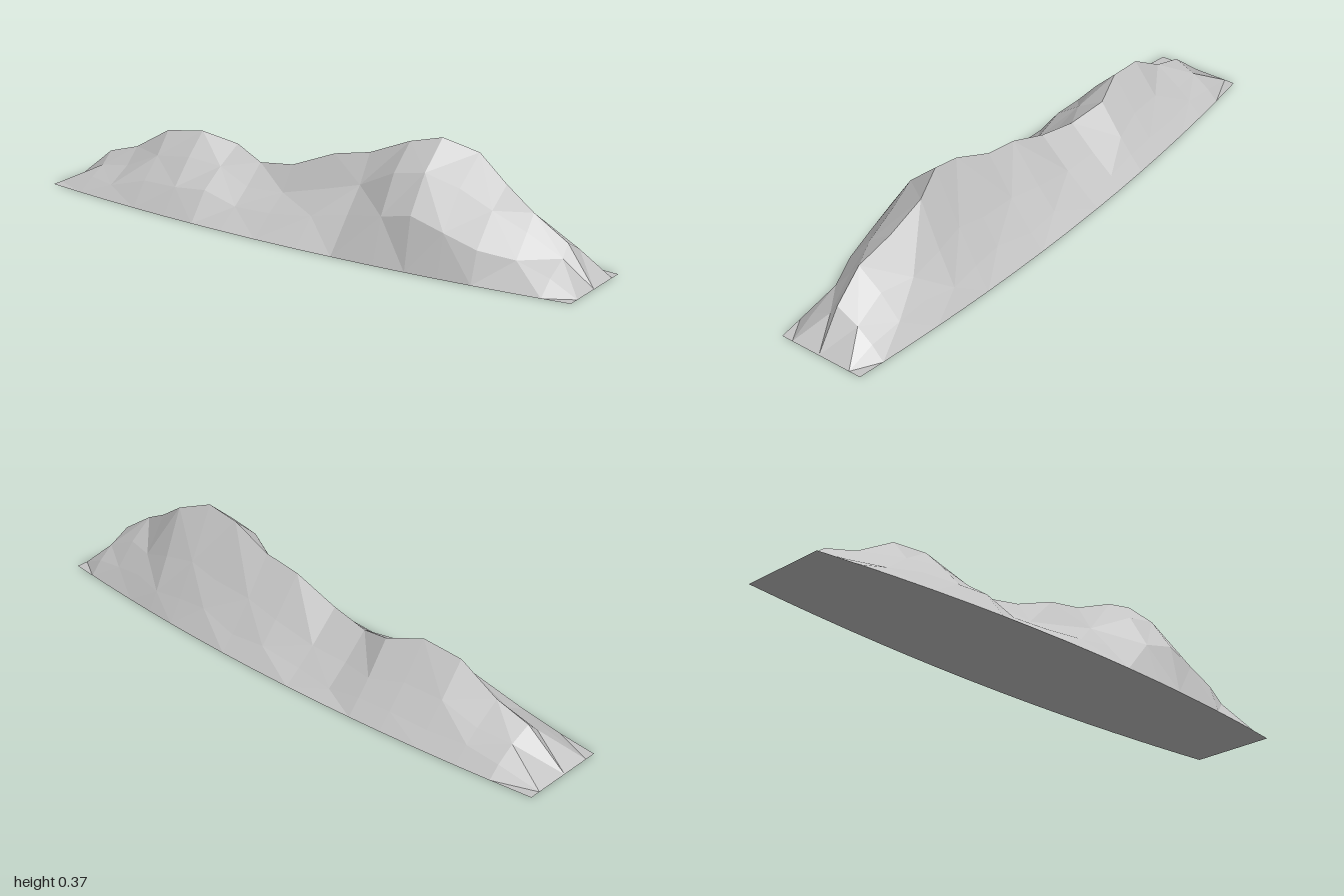
import * as THREE from 'three';

// Cross-sections along x: [x, crest y, crest z], then front ledge and foot as [z, y]
const SECTIONS = [
  [[-1, 0, 0], [0.06, 0], [0.105, 0]],
  [[-0.86, 0.11, 0], [0.045, 0.07], [0.1, 0.04]],
  [[-0.74, 0.145, 0], [0.055, 0.09], [0.14, 0.042]],
  [[-0.6, 0.225, 0], [0.06, 0.15], [0.13, 0.08]],
  [[-0.46, 0.243, -0.01], [0.065, 0.17], [0.14, 0.085]],
  [[-0.34, 0.21, -0.045], [0.05, 0.155], [0.135, 0.095]],
  [[-0.22, 0.175, -0.01], [0.065, 0.11], [0.13, 0.06]],
  [[-0.08, 0.195, 0.005], [0.06, 0.115], [0.135, 0.065]],
  [[0.08, 0.258, 0], [0.055, 0.155], [0.13, 0.085]],
  [[0.21, 0.283, -0.005], [0.05, 0.19], [0.12, 0.11]],
  [[0.36, 0.345, 0], [0.09, 0.265], [0.16, 0.145]],
  [[0.47, 0.372, -0.01], [0.09, 0.285], [0.168, 0.17]],
  [[0.58, 0.335, -0.045], [0.07, 0.25], [0.16, 0.135]],
  [[0.69, 0.26, -0.02], [0.065, 0.2], [0.15, 0.1]],
  [[0.8, 0.2, 0.01], [0.05, 0.15], [0.11, 0.08]],
  [[0.91, 0.125, 0], [0.03, 0.085], [0.105, 0.045]],
  [[1, 0, 0], [0.06, 0], [0.105, 0]],
];

// Bowed outline of the base
const backEdge = (x) => -0.218 + 0.06 * x * x;
const frontEdge = (x) => 0.215 - 0.07 * x * x;

// One cross-section from the back edge over the crest to the front edge
function sectionPoints([[x, y, z], ledge, foot], i) {
  const back = backEdge(x);
  const wobble = 0.03 * Math.sin(i * 2.3);
  // The back slope is straight in the middle and fuller toward both ends
  const fullness = THREE.MathUtils.smoothstep(Math.abs(x), 0.58, 0.85);
  const onBack = (reach, height) => [x, y * height, z + (back - z) * reach];
  return [
    [x, 0, back],
    onBack(0.76 + wobble, 0.21 - wobble + 0.14 * fullness),
    onBack(0.45 - wobble, 0.51 + wobble + 0.17 * fullness),
    [x, y, z],
    [x, ledge[1], ledge[0]],
    [x, foot[1], foot[0]],
    [x, 0, frontEdge(x)],
  ];
}

function buildGeometry(triangles) {
  const geometry = new THREE.BufferGeometry();
  geometry.setAttribute('position', new THREE.Float32BufferAttribute(triangles.flat(2), 3));
  geometry.computeVertexNormals();
  return geometry;
}

export function createModel() {
  const rock = new THREE.MeshStandardMaterial({ color: 0xc4c4c4, flatShading: true });
  rock.name = 'greyRock';

  const rows = SECTIONS.map(sectionPoints);
  const slopes = [];
  const underside = [];
  for (let i = 0; i < rows.length - 1; i++) {
    const p = rows[i], q = rows[i + 1];
    const last = p.length - 1;
    // Rocky facets, with the diagonal alternating
    for (let j = 0; j < last; j++) {
      if ((i + j) % 2) slopes.push([p[j], p[j + 1], q[j + 1]], [p[j], q[j + 1], q[j]]);
      else slopes.push([p[j], p[j + 1], q[j]], [p[j + 1], q[j + 1], q[j]]);
    }
    // Flat bottom
    underside.push([p[0], q[last], p[last]], [p[0], q[0], q[last]]);
  }

  const ridge = new THREE.Mesh(buildGeometry(slopes), rock);
  ridge.name = 'mountainSlopes';
  const base = new THREE.Mesh(buildGeometry(underside), rock);
  base.name = 'mountainBase';

  const group = new THREE.Group();
  group.name = 'mountainRidge';
  group.add(ridge, base);
  return group;
}
